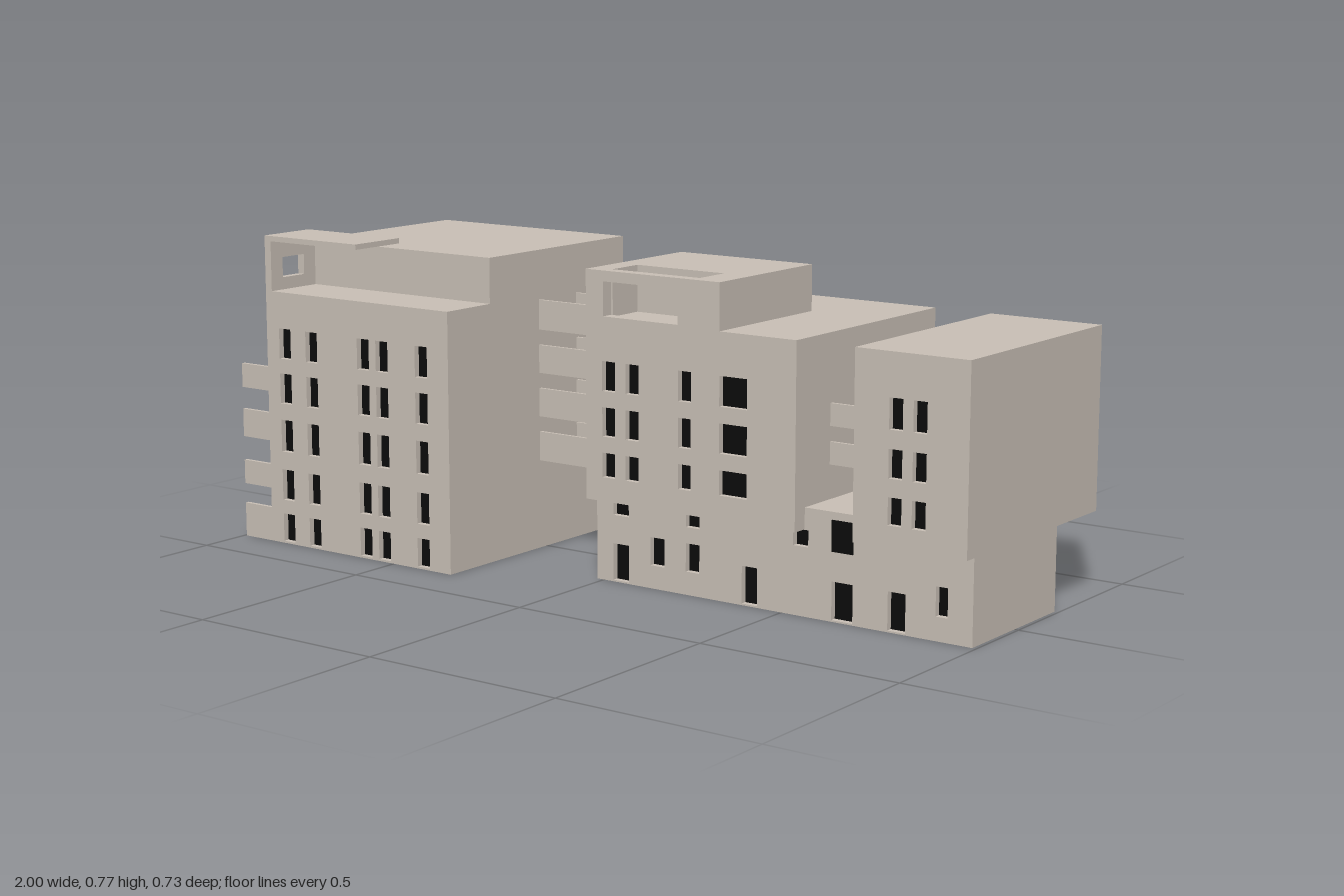
import * as THREE from 'three';

const stone = new THREE.MeshStandardMaterial({ color: 0xc8bfb5 });
stone.name = 'warm grey stone';
const black = new THREE.MeshStandardMaterial({ color: 0x0b0b0b });
black.name = 'black glass';

function part(parent, name) {
  const g = new THREE.Group();
  g.name = name;
  parent.add(g);
  return g;
}

// Box given by its limits on each axis
function box(parent, name, x0, x1, y0, y1, z0, z1, mat = stone) {
  const m = new THREE.Mesh(new THREE.BoxGeometry(x1 - x0, y1 - y0, z1 - z0), mat);
  m.position.set((x0 + x1) / 2, (y0 + y1) / 2, (z0 + z1) / 2);
  m.name = name;
  parent.add(m);
  return m;
}

// Wall in local XY with rectangular openings [u0, u1, y0, y1], glazed at its inner face
function wall(parent, name, [u0, u1, y0, y1], openings, depth, glazed = true) {
  const g = part(parent, name);
  const rect = (C, a, b, c, d) => {
    const s = new C();
    s.moveTo(a, c); s.lineTo(b, c); s.lineTo(b, d); s.lineTo(a, d); s.closePath();
    return s;
  };
  const shape = rect(THREE.Shape, u0, u1, y0, y1);
  for (const o of openings) shape.holes.push(rect(THREE.Path, ...o));
  const m = new THREE.Mesh(new THREE.ExtrudeGeometry(shape, { depth, bevelEnabled: false }), stone);
  m.name = name + 'Face';
  g.add(m);
  if (glazed) for (const [a, b, c, d] of openings) box(g, 'windowPane', a, b, c, d, 0, 0.005, black);
  return g;
}

// Regular grid of windows: columns [centre, width], rows [bottom, top]
const grid = (cols, rows) =>
  cols.flatMap(([c, w]) => rows.map(([a, b]) => [c - w / 2, c + w / 2, a, b]));

// Turn a wall so that it faces -x, with its local u along z
function faceLeft(w, x) {
  w.rotation.y = -Math.PI / 2;
  w.position.x = x;
}

// Open footbridge: a floor and two parapets
function bridge(parent, x0, x1, z0, z1, y0, y1) {
  const g = part(parent, 'footbridge'), t = 0.008;
  box(g, 'bridgeFloor', x0, x1, y0, y0 + t, z0, z1);
  box(g, 'bridgeParapet', x0, x1, y0 + t, y1, z0, z0 + t);
  box(g, 'bridgeParapet', x0, x1, y0 + t, y1, z1 - t, z1);
}

const rows = [[0.005, 0.075], [0.11, 0.187], [0.232, 0.312], [0.353, 0.428], [0.465, 0.54]];

function westBuilding(root) {
  const g = part(root, 'westBuilding'), t = 0.012;
  const cols = [-0.845, -0.757, -0.588, -0.528, -0.404].map(c => [c, 0.038]);
  wall(g, 'frontWall', [-0.905, -0.32, 0, 0.63], grid(cols, rows), 0.02).position.z = 0.345;
  box(g, 'eastWall', -0.332, -0.32, 0, 0.63, -0.315, 0.345);
  box(g, 'terraceRoof', -0.905, -0.332, 0.618, 0.63, 0.21, 0.345);

  // Thick side wing with deep window reveals
  const wingCols = [-0.2, -0.05, 0.11].map(c => [c, 0.062]);
  faceLeft(wall(g, 'sideWing', [-0.315, 0.21, 0, 0.63], grid(wingCols, rows.slice(1)), 0.095), -0.905);

  // Top storey, open underneath
  const top = part(g, 'topStorey');
  box(top, 'topRoof', -0.905, -0.32, 0.74 - t, 0.74, -0.315, 0.21);
  box(top, 'topFrontWall', -0.905, -0.32, 0.63, 0.74 - t, 0.21 - t, 0.21);
  box(top, 'topBackWall', -0.905, -0.32, 0.625, 0.74 - t, -0.315, -0.315 + t);
  for (const x of [-0.905, -0.32 - t])
    box(top, 'topSideWall', x, x + t, 0.63, 0.74 - t, -0.315 + t, 0.21 - t);

  // Terrace fin with its opening, and the canopy above
  faceLeft(wall(g, 'terraceFin', [0.21, 0.365, 0.63, 0.753], [[0.25, 0.325, 0.66, 0.71]], 0.02, false), -0.885);
  box(g, 'canopy', -0.905, -0.605, 0.753, 0.766, 0.21, 0.365);

  // Corner balconies with glazed doors on both inner sides
  const b = part(g, 'cornerBalconies');
  const levels = [[0, 0.085, 0.135], [0.135, 0.195, 0.255], [0.255, 0.325, 0.38], [0.38, 0.44, 0.49]];
  const doors = levels.map(([y0, , y2]) => [0.225, 0.345, y0 + 0.02, y2 - 0.005]);
  faceLeft(wall(b, 'balconySideWall', [0.21, 0.345, 0, 0.63], doors, 0.015), -0.89);
  for (const [y0, y1, y2] of levels) {
    box(b, 'balconyFloor', -0.995, -0.905, y0, y0 + 0.015, 0.21, 0.355);
    box(b, 'balconyParapet', -0.995, -0.905, y0, y1, 0.355, 0.365);
    box(b, 'balconyDoor', -0.993, -0.907, y0 + 0.015, y2, 0.21, 0.215, black);
  }
}

function middleBuilding(root) {
  const g = part(root, 'middleBuilding');
  const r = [[0.257, 0.315], [0.353, 0.422], [0.46, 0.53]];
  const cols = [[0.045, 0.037], [0.112, 0.037], [0.26, 0.035], [0.393, 0.075]];
  wall(g, 'frontWall', [-0.02, 0.56, 0.2, 0.63], grid(cols, r), 0.02).position.z = 0.205;
  box(g, 'mainVolume', -0.02, 0.56, 0.2, 0.63, -0.368, 0.205);

  // Penthouse with a roof opening and a front opening
  const p = part(g, 'penthouse');
  box(p, 'penthouseBack', -0.02, 0.355, 0.63, 0.74, -0.15, 0.1);
  box(p, 'penthouseSide', -0.02, 0.035, 0.63, 0.74, 0.1, 0.195);
  box(p, 'penthouseSide', 0.28, 0.355, 0.63, 0.74, 0.1, 0.195);
  wall(p, 'penthouseFront', [-0.02, 0.355, 0.63, 0.74], [[0.03, 0.24, 0.634, 0.715]], 0.03, false)
    .position.z = 0.195;
}

function eastBlock(root) {
  const g = part(root, 'eastBlock');
  const r = [[0.25, 0.312], [0.353, 0.418], [0.46, 0.53]];
  wall(g, 'frontWall', [0.71, 0.995, 0.2, 0.63], grid([[0.815, 0.034], [0.875, 0.034]], r), 0.02)
    .position.z = 0.205;
  box(g, 'mainVolume', 0.71, 0.995, 0.2, 0.63, -0.365, 0.205);
}

// Low base, open at the back and underneath
function podium(root) {
  const g = part(root, 'podium');
  const low = [[0.05, 0.045], [0.413, 0.042], [0.66, 0.055], [0.8, 0.045]];
  const mid = [[0.155, 0.04], [0.255, 0.038], [0.913, 0.03]];
  const high = [[0.05, 0.045], [0.255, 0.038], [0.55, 0.04]];
  const openings = [
    ...grid(low, [[0.004, 0.092]]),
    ...grid(mid, [[0.055, 0.122]]),
    ...grid(high, [[0.16, 0.199]]),
  ];
  wall(g, 'frontWall', [-0.02, 0.99, 0, 0.2], openings, 0.02).position.z = 0.165;
  wall(g, 'linkFront', [0.56, 0.71, 0.2, 0.25], [], 0.02).position.z = 0.165;
  box(g, 'upperPane', 0.632, 0.688, 0.16, 0.232, 0.185, 0.187, black);
  box(g, 'sideWall', -0.02, -0.01, 0, 0.2, -0.186, 0.165);
  box(g, 'sideWall', 0.98, 0.99, 0, 0.2, -0.186, 0.165);
  box(g, 'linkRoof', 0.56, 0.71, 0.235, 0.25, -0.188, 0.165);
}

export function createModel() {
  const root = new THREE.Group();
  root.name = 'buildingComplex';
  westBuilding(root);
  middleBuilding(root);
  eastBlock(root);
  podium(root);
  for (const [a, b] of [[0.22, 0.292], [0.33, 0.4], [0.438, 0.507], [0.545, 0.618]])
    bridge(root, -0.34, -0.02, -0.13, 0.025, a, b);
  for (const [a, b] of [[0.33, 0.382], [0.418, 0.47]])
    bridge(root, 0.56, 0.71, -0.105, 0.085, a, b);
  return root;
}
